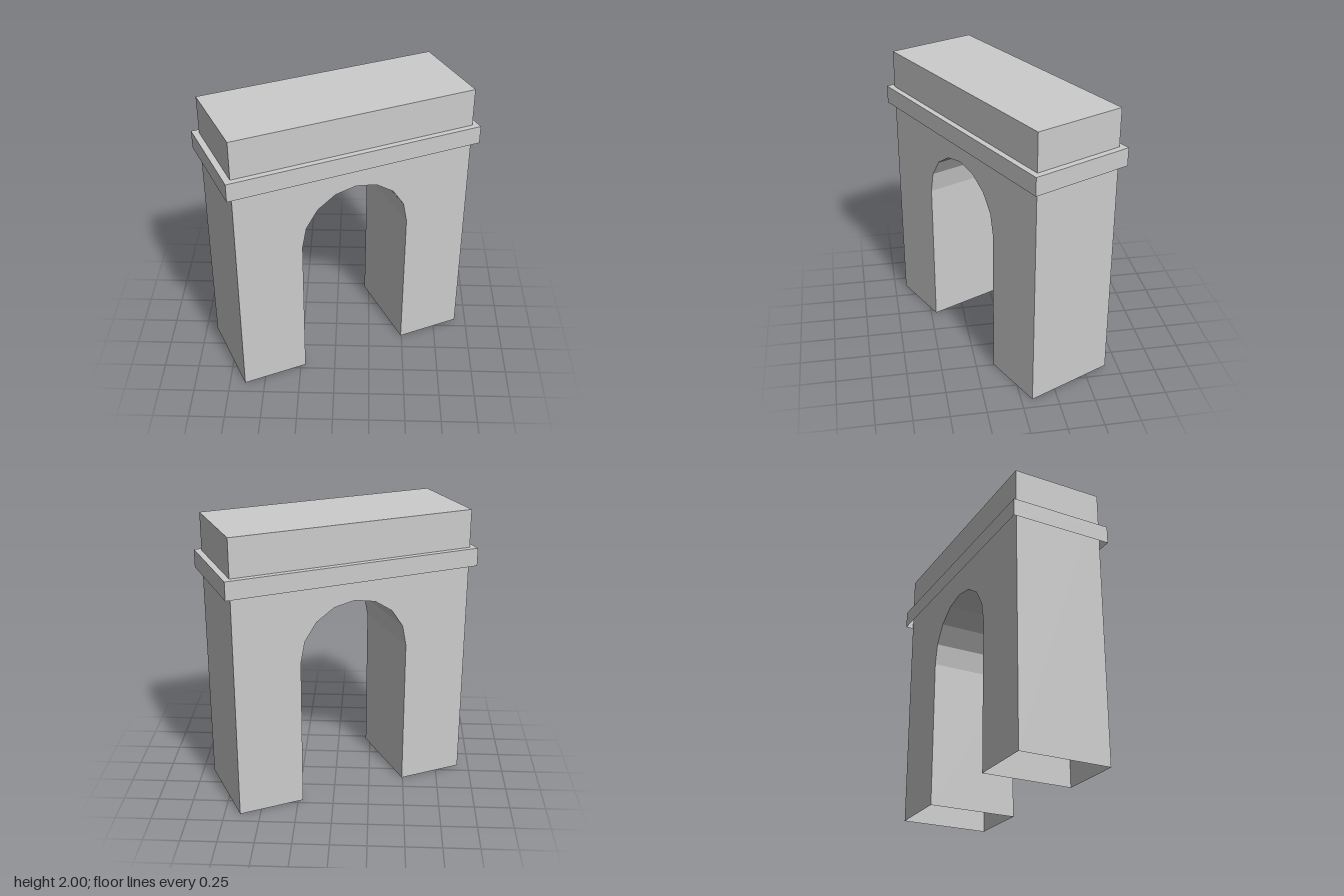
import * as THREE from 'three';

// Hollow shell: drop the triangles lying on the lowest level of a geometry
function openBottom(geometry) {
  const geo = geometry.index ? geometry.toNonIndexed() : geometry;
  geo.computeBoundingBox();
  const low = geo.boundingBox.min.y + 1e-4;
  const pos = geo.attributes.position;
  const kept = [];
  for (let i = 0; i < pos.count; i += 3) {
    if ([0, 1, 2].some((k) => pos.getY(i + k) > low)) {
      for (let k = 0; k < 3; k++) kept.push(pos.getX(i + k), pos.getY(i + k), pos.getZ(i + k));
    }
  }
  const shell = new THREE.BufferGeometry();
  shell.setAttribute('position', new THREE.Float32BufferAttribute(kept, 3));
  shell.computeVertexNormals();
  return shell;
}

export function createModel() {
  const stone = new THREE.MeshStandardMaterial({ color: 0xcccccc, side: THREE.DoubleSide });
  stone.name = 'stone grey';

  const group = new THREE.Group();
  group.name = 'archway';
  const add = (name, geometry) => {
    const mesh = new THREE.Mesh(geometry, stone);
    mesh.name = name;
    group.add(mesh);
    return mesh;
  };

  // Main block with a round-headed passage, eight facets across the vault
  const halfWidth = 0.863, depth = 0.65, height = 2;
  const radius = 0.393, spring = 1.073, facets = 8;
  const outline = new THREE.Shape();
  outline.moveTo(radius, 0);
  outline.lineTo(halfWidth, 0);
  outline.lineTo(halfWidth, height);
  outline.lineTo(-halfWidth, height);
  outline.lineTo(-halfWidth, 0);
  outline.lineTo(-radius, 0);
  for (let i = 0; i <= facets; i++) {
    const a = Math.PI * (1 - i / facets);
    outline.lineTo(radius * Math.cos(a), spring + radius * Math.sin(a));
  }
  outline.closePath();
  const block = new THREE.ExtrudeGeometry(outline, { depth, bevelEnabled: false });
  block.translate(0, 0, -depth / 2);
  add('archBlock', openBottom(block));

  // Projecting cornice band below the attic
  const cornice = add('cornice', openBottom(new THREE.BoxGeometry(1.813, 0.128, 0.731)));
  cornice.position.y = 1.668;

  // The arch stands turned on its plot
  group.rotation.y = THREE.MathUtils.degToRad(25.4);
  const model = new THREE.Group();
  model.name = 'triumphalArch';
  model.add(group);
  return model;
}
